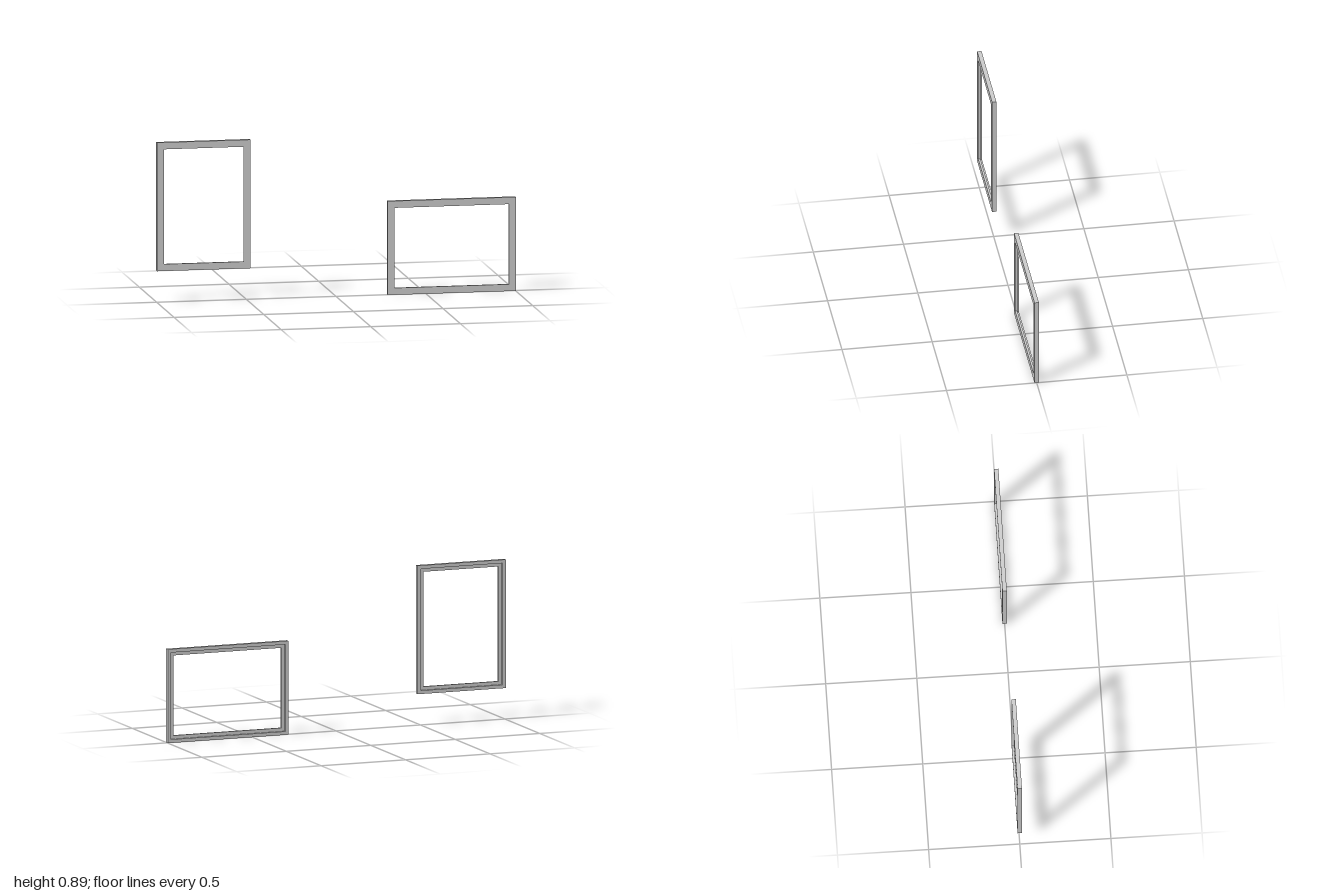
import * as THREE from 'three';

const DEPTH = 0.024; // frame thickness
const BAR = 0.038; // width of each bar
const REBATE = 0.019; // width of the bar left behind the stepped recess

// Bar cross-section as [inset from outer edge, z], with a rebate at the back
const PROFILE = [
  [0, DEPTH / 2], [BAR, DEPTH / 2], [BAR, 0],
  [REBATE, 0], [REBATE, -DEPTH / 2], [0, -DEPTH / 2],
];
const CORNERS = [[1, 1], [-1, 1], [-1, -1], [1, -1]];

// Sweep the cross-section round a rectangle with mitred corners
function frameGeometry(width, height) {
  const point = (c, p) => {
    const [sx, sy] = CORNERS[c % 4];
    const [inset, z] = PROFILE[p % PROFILE.length];
    return [sx * (width / 2 - inset), sy * (height / 2 - inset), z];
  };
  const positions = [];
  for (let c = 0; c < 4; c++) {
    for (let p = 0; p < PROFILE.length; p++) {
      const a = point(c, p), b = point(c + 1, p);
      const d = point(c + 1, p + 1), e = point(c, p + 1);
      positions.push(...a, ...b, ...d, ...a, ...d, ...e);
    }
  }
  const geometry = new THREE.BufferGeometry();
  geometry.setAttribute('position', new THREE.Float32BufferAttribute(positions, 3));
  geometry.computeVertexNormals();
  return geometry;
}

export function createModel() {
  const group = new THREE.Group();
  group.name = 'pictureFrames';
  const material = new THREE.MeshStandardMaterial({ color: 0xcccccc });

  const addFrame = (name, width, height, x, bottom) => {
    const mesh = new THREE.Mesh(frameGeometry(width, height), material);
    mesh.name = name;
    mesh.position.set(x, bottom + height / 2, 0);
    group.add(mesh);
  };

  // Same frame hung upright on one side and lengthwise on the other
  const LONG = 0.714, SHORT = 0.521;
  addFrame('portraitFrame', SHORT, LONG, -1 + SHORT / 2, 0.174);
  addFrame('landscapeFrame', LONG, SHORT, 1 - LONG / 2, 0);

  return group;
}
